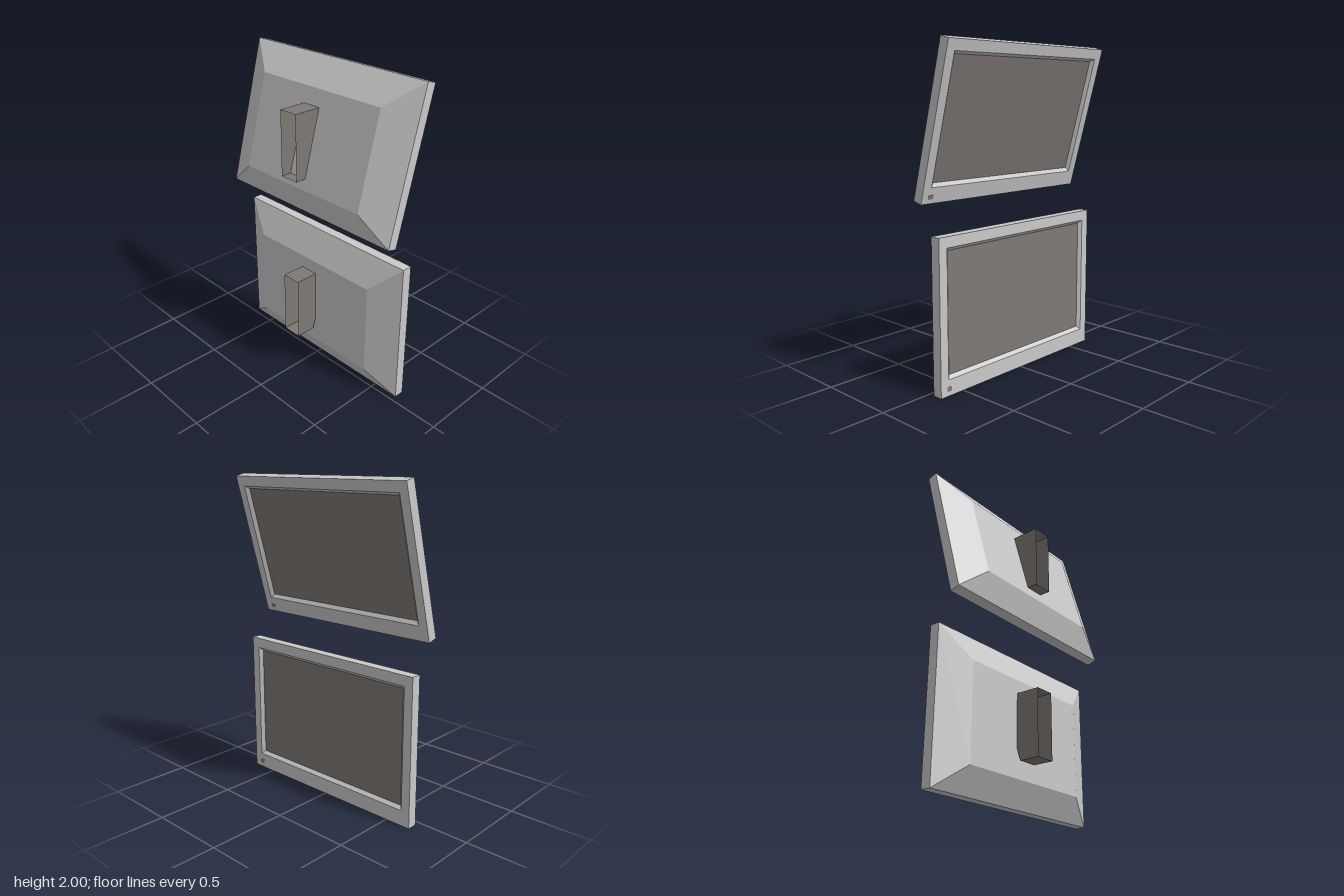
import * as THREE from 'three';

const W = 0.67, H = 0.925, RIM = 0.064;
const housingMat = new THREE.MeshStandardMaterial({ color: 0xcacaca, side: THREE.DoubleSide });
housingMat.name = 'light grey housing';
const darkMat = new THREE.MeshStandardMaterial({ color: 0x807975, side: THREE.DoubleSide });
darkMat.name = 'warm dark grey';

function add(parent, name, geometry, material, x = 0, y = 0, z = 0) {
  const mesh = new THREE.Mesh(geometry, material);
  mesh.name = name;
  mesh.position.set(x, y, z);
  parent.add(mesh);
  return mesh;
}

// Flat-shaded surface from a list of four-cornered faces
function quads(faces) {
  const pos = [];
  for (const [a, b, c, d] of faces) pos.push(...a, ...b, ...c, ...a, ...c, ...d);
  const g = new THREE.BufferGeometry();
  g.setAttribute('position', new THREE.Float32BufferAttribute(pos, 3));
  g.computeVertexNormals();
  return g;
}

// Rectangle loop facing +z, and the four faces joining two such loops
const rect = (x, y0, y1, z) => [[-x, y0, z], [x, y0, z], [x, y1, z], [-x, y1, z]];
const join = (a, b) => a.map((p, i) => [p, a[(i + 1) % 4], b[(i + 1) % 4], b[i]]);

// Monitor: origin at the bottom of the seam between rim and sloped casing
function monitor(name) {
  const g = new THREE.Group();
  g.name = name;
  const panel = rect(0.472, 0.147, 0.74, 0.084);
  const seam = rect(W, 0, H, 0);
  const back = rect(W, 0, H, -RIM);
  const opening = rect(0.612, 0.097, H - 0.064, -RIM);
  const recess = rect(0.592, 0.117, H - 0.084, -RIM + 0.02);

  add(g, 'casing', quads([...join(seam, panel), panel]), housingMat);
  add(g, 'rim', quads(join(back, seam)), housingMat);
  add(g, 'screenFrame', quads([...join(opening, back), ...join(recess, opening)]), housingMat);
  add(g, 'screen', quads([[...recess].reverse()]), darkMat);
  add(g, 'indicator', new THREE.BoxGeometry(0.034, 0.027, 0.004), darkMat, 0.606, 0.041, -RIM + 0.001);
  return g;
}

// Hollow bracket, open at front and back: profile points are [z, y] from front bottom round to front top
function bracket(name, profile) {
  const x0 = -0.092, x1 = 0.034;
  const g = new THREE.Group();
  g.name = name;
  const plate = ([z0, y0], [z1, y1]) => [[x0, y0, z0], [x0, y1, z1], [x1, y1, z1], [x1, y0, z0]];
  add(g, 'bracketBottom', quads([plate(profile[0], profile[1])]), darkMat);
  add(g, 'bracketTop', quads([plate(profile.at(-2), profile.at(-1))]), darkMat);
  const side = new THREE.ShapeGeometry(new THREE.Shape(profile.map(([z, y]) => new THREE.Vector2(-z, y))));
  for (const x of [x0, x1]) add(g, 'bracketSide', side, darkMat, x).rotation.y = Math.PI / 2;
  return g;
}

export function createModel() {
  const model = new THREE.Group();
  model.name = 'stackedMonitors';

  const lower = monitor('lowerMonitor');
  lower.position.set(0, 0, -0.037);
  const upper = monitor('upperMonitor');
  upper.position.set(0, 1.109, 0.106);
  upper.rotation.x = -THREE.MathUtils.degToRad(15.3);
  model.add(lower, upper);

  model.add(bracket('lowerBracket', [[0.2, 0.247], [0.07, 0.247], [0.047, 0.32], [0.047, 0.656], [0.2, 0.656]]));
  model.add(bracket('upperBracket', [[0.2, 1.338], [0.131, 1.338], [0.019, 1.747], [0.2, 1.747]]));
  return model;
}
